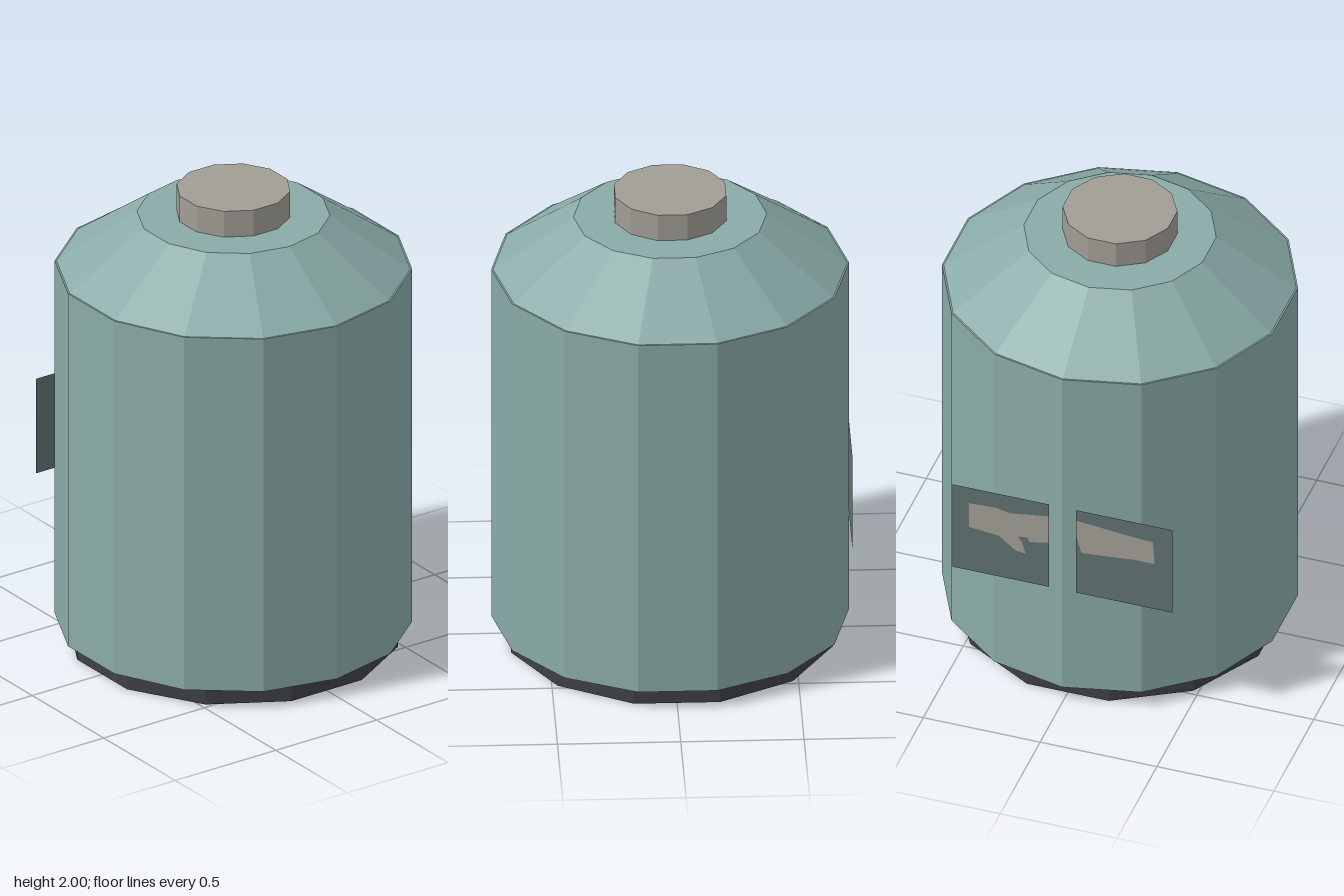
import * as THREE from 'three';

const paint = (name, color) => {
  const m = new THREE.MeshStandardMaterial({ color, flatShading: true });
  m.name = name;
  return m;
};

export function createModel() {
  const group = new THREE.Group();
  const teal = paint('tealPaint', 0x8aaba8);
  const dark = paint('darkRubber', 0x3e4043);
  const grey = paint('warmGrey', 0xa09d95);
  const plateMat = paint('darkTealPlate', 0x5f7270);
  plateMat.side = THREE.DoubleSide;

  const add = (name, geometry, material) => {
    const mesh = new THREE.Mesh(geometry, material);
    mesh.name = name;
    group.add(mesh);
    return mesh;
  };

  // Faceted drum standing between two heights
  const drum = (name, rTop, rBottom, y0, y1, sides, turn, material) => {
    const g = new THREE.CylinderGeometry(rTop, rBottom, y1 - y0, sides, 1, false, turn);
    add(name, g, material).position.y = (y0 + y1) / 2;
  };
  const half12 = Math.PI / 12;
  drum('base', 0.675, 0.675, 0, 0.08, 12, half12, dark);
  drum('tankBody', 0.725, 0.725, 0.08, 1.655, 14, 0, teal);
  drum('shoulder', 0.392, 0.718, 1.655, 1.885, 14, 0, teal);
  drum('cap', 0.233, 0.233, 1.885, 2, 12, half12, grey);

  // Two flat plates on the back, each with a worn painted patch.
  // Patch points are fractions of the plate, across and down, seen from behind.
  const w = 0.412, h = 0.422, yTop = 0.998, zPlate = -0.72;
  const backShape = (name, points, xStart, z, material) => {
    const shape = new THREE.Shape(points.map(([f, d]) => new THREE.Vector2(f * w, -d * h)));
    const mesh = add(name, new THREE.ShapeGeometry(shape), material);
    mesh.rotation.y = Math.PI;
    mesh.position.set(xStart, yTop, z);
  };
  const full = [[0, 0], [0, 1], [1, 1], [1, 0]];
  const patches = {
    left: [[0.17, 0.18], [0.45, 0.17], [0.6, 0.2], [1, 0.14], [1, 0.46], [0.8, 0.5], [0.78, 0.45],
      [0.68, 0.46], [0.72, 0.52], [0.76, 0.65], [0.66, 0.64], [0.48, 0.5], [0.17, 0.47]],
    right: [[0, 0.12], [0.5, 0.17], [0.8, 0.19], [0.82, 0.45], [0.6, 0.45], [0.3, 0.48],
      [0.06, 0.5], [0, 0.3]],
  };
  for (const [side, xStart] of [['left', 0.47], ['right', -0.058]]) {
    backShape(side + 'Plate', full, xStart, zPlate, plateMat);
    backShape(side + 'PlatePatch', patches[side], xStart, zPlate - 0.003, grey);
  }
  return group;
}
